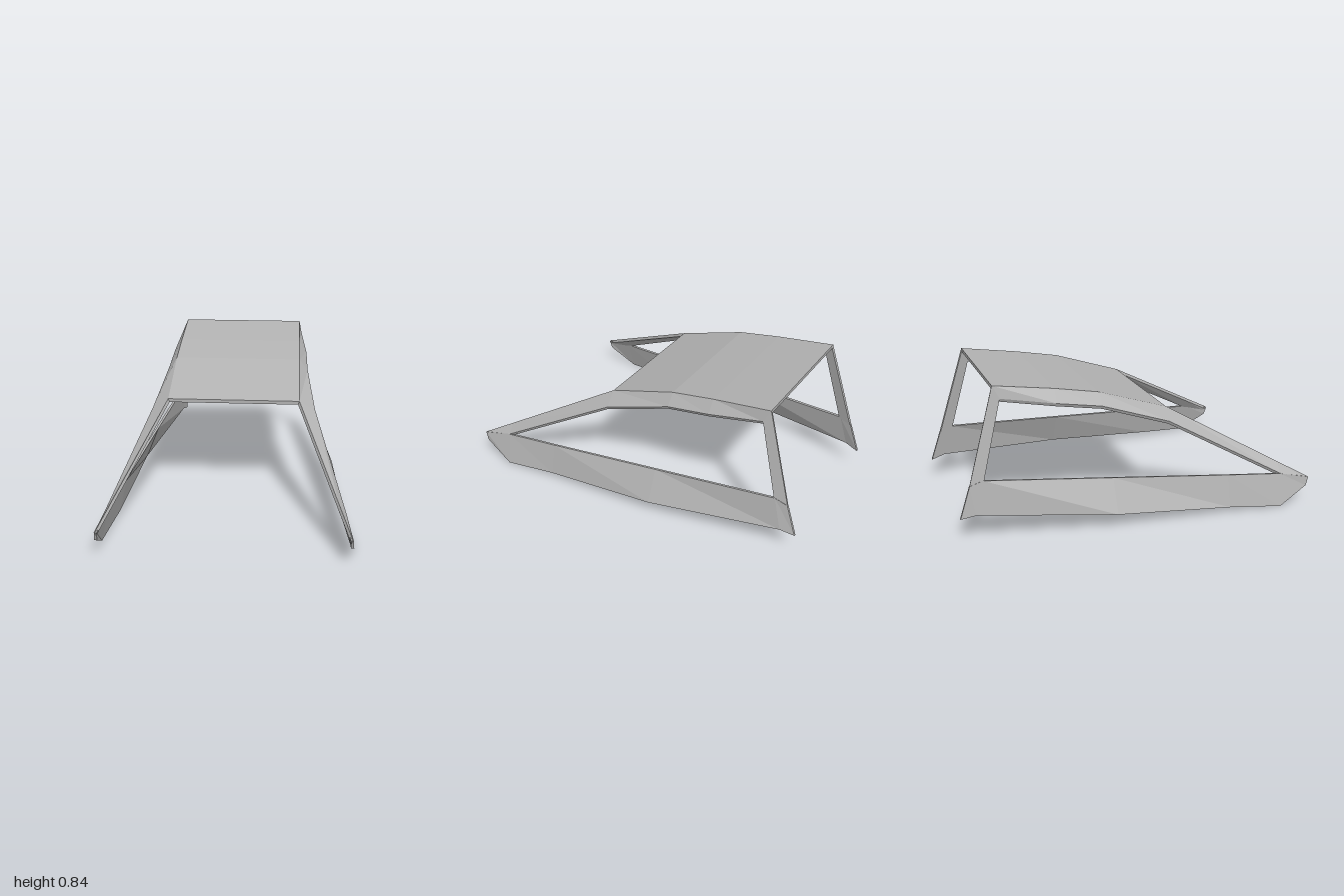
import * as THREE from 'three';

// Thin folded plate between two matching edge rails, thickened by an offset
function plate(railA, railB, off) {
  const pos = [];
  const shift = p => p.map((v, k) => v + off[k]);
  const rings = railA.map((a, i) => [a, railB[i], shift(railB[i]), shift(a)]);
  const quad = (a, b, c, d) => pos.push(...a, ...b, ...c, ...a, ...c, ...d);
  for (let i = 0; i < rings.length - 1; i++) {
    const r = rings[i], s = rings[i + 1];
    for (let k = 0; k < 4; k++) {
      const n = (k + 1) % 4;
      quad(r[k], r[n], s[n], s[k]);
    }
  }
  const first = rings[0], last = rings[rings.length - 1];
  quad(first[0], first[3], first[2], first[1]);
  quad(...last);
  const geo = new THREE.BufferGeometry();
  geo.setAttribute('position', new THREE.Float32BufferAttribute(pos, 3));
  geo.computeVertexNormals();
  return geo;
}

export function createModel() {
  const model = new THREE.Group();
  model.name = 'canopyFrame';
  const grey = new THREE.MeshStandardMaterial({ color: 0xb2b2b2 });
  grey.name = 'plainGrey';

  const add = (parent, name, a, b, off) => {
    const mesh = new THREE.Mesh(plate(a, b, off), grey);
    mesh.name = name;
    parent.add(mesh);
  };

  // Roof: a gently bent sheet rising to the rear
  const roof = [[0.6, 0.2], [0.735, -0.2], [0.785, -0.45], [0.84, -0.785]];
  const roofEdge = x => roof.map(([y, z]) => [x, y, z]);
  add(model, 'roof', roofEdge(-0.375), roofEdge(0.375), [0, -0.02, 0]);

  // Side frame, described for the left and mirrored to the right
  const parts = [
    {
      name: 'roofArm',
      a: [[0.645, 0.15, 1], [0.584, 0.251, 0.82], ...roofEdge(0.375)],
      b: [[0.647, 0.14, 0.985], [0.625, 0.192, 0.82], [0.465, 0.545, 0.18],
        [0.425, 0.67, -0.2], [0.42, 0.715, -0.45], [0.39, 0.77, -0.75]],
      off: [-0.008, -0.018, 0],
    },
    {
      name: 'rearPillar',
      a: [[0.375, 0.84, -0.785], [0.422, 0.32, -0.94]],
      b: [[0.39, 0.77, -0.75], [0.432, 0.34, -0.865]],
      off: [-0.014, -0.004, 0.002],
    },
    {
      name: 'sidePanel',
      a: [[0.648, 0.15, 1], [0.625, 0.19, 0.82], [0.59, 0.219, 0.5],
        [0.513, 0.281, -0.17], [0.432, 0.345, -0.87], [0.424, 0.32, -0.94]],
      b: [[0.652, 0.1, 0.985], [0.67, 0.005, 0.81], [0.632, 0.035, 0.5],
        [0.59, 0.093, -0.17], [0.45, 0.16, -0.92], [0.432, 0.142, -1]],
      off: [-0.014, -0.002, 0],
    },
  ];
  for (const side of [1, -1]) {
    const frame = new THREE.Group();
    frame.name = side > 0 ? 'leftFrame' : 'rightFrame';
    const flip = p => [p[0] * side, p[1], p[2]];
    for (const { name, a, b, off } of parts) {
      const rails = [a.map(flip), b.map(flip)];
      if (side < 0) rails.reverse(); // keeps faces outward after mirroring
      add(frame, name, rails[0], rails[1], flip(off));
    }
    model.add(frame);
  }
  return model;
}
